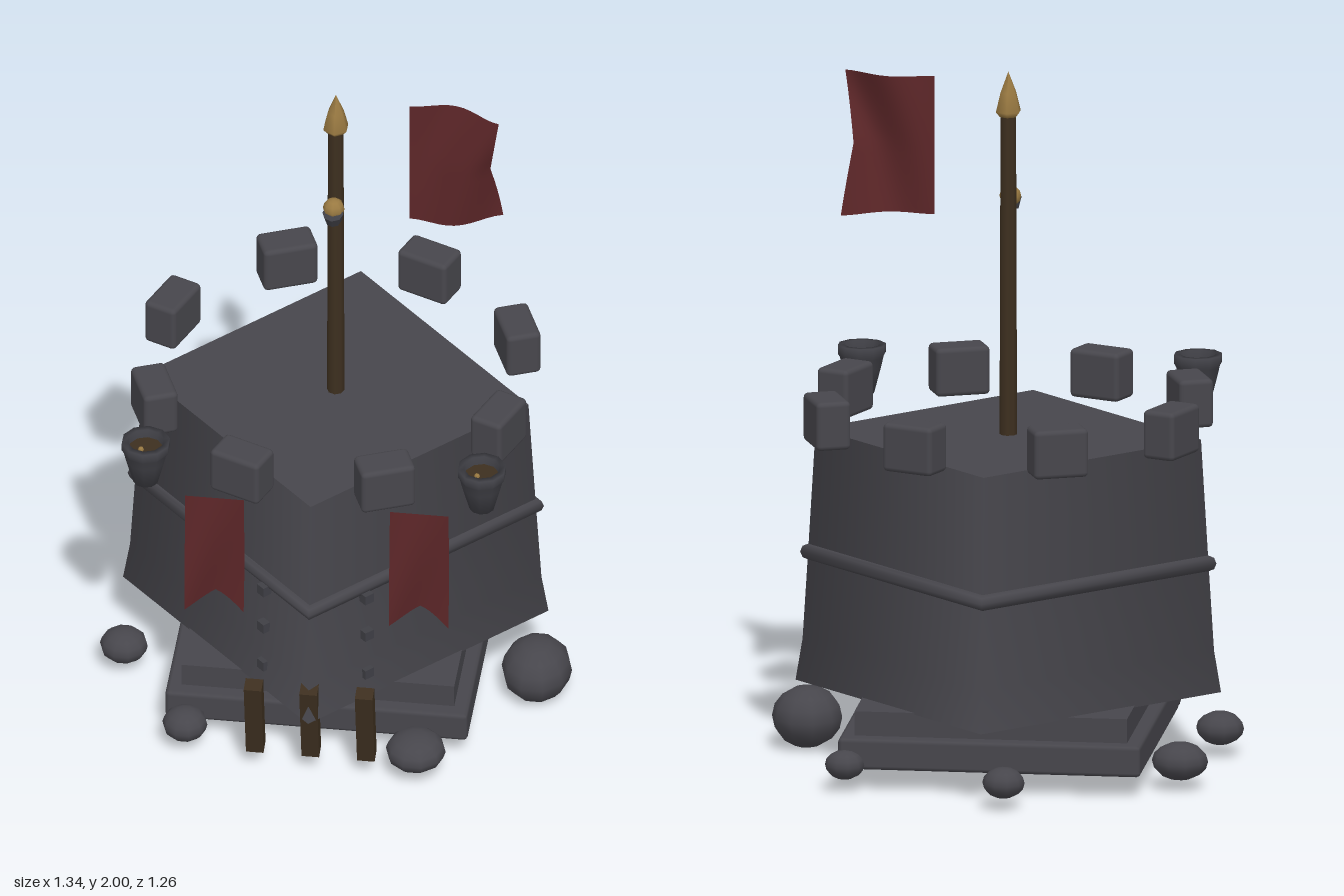
import * as THREE from 'three';
import { RoundedBoxGeometry } from 'three/addons/geometries/RoundedBoxGeometry.js';

const material = (name, color, side = THREE.FrontSide) => {
  const m = new THREE.MeshStandardMaterial({ color, side });
  m.name = name;
  return m;
};

export function createModel() {
  const stone = material('stone', 0x47464c);
  const iron = material('iron', 0x3f3f45);
  const wood = material('wood', 0x3d2f1f);
  const brass = material('brass', 0x9a7a42);
  const cloth = material('red cloth', 0x5c2628, THREE.DoubleSide);

  const model = new THREE.Group();
  model.name = 'watchtower';
  // The tower axis sits slightly off the overall centre
  const tower = new THREE.Group();
  tower.name = 'tower';
  tower.position.set(-0.02, 0, 0.02);
  model.add(tower);

  const add = (parent, name, geometry, mat, x = 0, y = 0, z = 0) => {
    const mesh = new THREE.Mesh(geometry, mat);
    mesh.name = name;
    mesh.position.set(x, y, z);
    parent.add(mesh);
    return mesh;
  };
  const lathe = (points, sides) =>
    new THREE.LatheGeometry(points.map(([r, y]) => new THREE.Vector2(r, y)), sides);

  // Stepped square base
  add(tower, 'lowerStep', new RoundedBoxGeometry(0.86, 0.09, 0.86, 1, 0.012), stone, 0, 0.11, 0);
  add(tower, 'upperStep', new THREE.BoxGeometry(0.775, 0.08, 0.775), stone, 0, 0.185, 0);

  // Four-sided flared wall with soft corners, turned 45 degrees to the base
  add(tower, 'wall', lathe([[0.605, 0.22], [0.585, 0.34], [0.57, 0.58], [0.548, 0.95]], 4), stone);
  const roof = add(tower, 'roof', new THREE.CircleGeometry(0.548, 4), stone, 0, 0.95, 0);
  roof.rotation.x = -Math.PI / 2;
  const underside = add(tower, 'underside', new THREE.CircleGeometry(0.605, 4), stone, 0, 0.22, 0);
  underside.rotation.x = Math.PI / 2;
  const band = add(tower, 'band', new THREE.TorusGeometry(0.569, 0.023, 8, 4), stone, 0, 0.592, 0);
  band.rotation.x = Math.PI / 2;

  // Ring of battlements
  const merlonGeometry = new RoundedBoxGeometry(0.158, 0.14, 0.1, 2, 0.014);
  for (let i = 0; i < 8; i++) {
    const a = (i + 0.5) * Math.PI / 4;
    const merlon = add(tower, 'merlon', merlonGeometry, stone,
      Math.sin(a) * 0.53, 1.02, Math.cos(a) * 0.53);
    merlon.rotation.y = a;
  }

  // Flagpole, finial and small lamp
  add(tower, 'pole', new THREE.CylinderGeometry(0.022, 0.025, 0.95, 8), wood, 0, 1.42, 0);
  add(tower, 'finial', lathe([[0, 1.87], [0.026, 1.87], [0.038, 1.885], [0.024, 1.94], [0, 2]], 6), brass);
  add(tower, 'lamp', new THREE.SphereGeometry(0.031, 8, 6), brass, 0, 1.63, 0.045);
  const lampCup = add(tower, 'lampCup', new THREE.CylinderGeometry(0.03, 0.022, 0.035, 8), iron, 0, 1.608, 0.058);
  lampCup.rotation.x = 0.25;

  // Leaning door planks
  for (const x of [-0.158, 0, 0.158]) {
    const plank = add(tower, 'plank', new THREE.BoxGeometry(0.05, 0.262, 0.045), wood, x, 0.198, 0.558);
    plank.rotation.x = 0.19;
  }

  // Studs beside the door
  for (const x of [-0.145, 0.145]) {
    for (const y of [0.3, 0.435, 0.565]) {
      const stud = add(tower, 'stud', new THREE.BoxGeometry(0.03, 0.03, 0.03), iron, x, y, 0.445);
      stud.rotation.y = Math.sign(x) * Math.PI / 4;
    }
  }

  // Fire bowls at the two front corners
  const bowl = lathe([[0, 0.945], [0.036, 0.945], [0.056, 1.02], [0.063, 1.05], [0.069, 1.06],
    [0.069, 1.085], [0.051, 1.085], [0.047, 1.04]], 10);
  for (const side of [-1, 1]) {
    const brazier = new THREE.Group();
    brazier.name = 'brazier';
    brazier.position.set(side * 0.478, 0, 0.478);
    tower.add(brazier);
    add(brazier, 'bowl', bowl, iron);
    add(brazier, 'coals', new THREE.CylinderGeometry(0.05, 0.045, 0.02, 10), wood, 0, 1.05, 0);
    add(brazier, 'ember', new THREE.SphereGeometry(0.009, 6, 4), brass, -0.012, 1.062, 0.012);
  }

  // Cloth sheet shaped by a rule: u runs across, v runs down
  const sheet = (rule) => {
    const g = new THREE.PlaneGeometry(1, 1, 12, 12);
    const p = g.attributes.position;
    for (let i = 0; i < p.count; i++) p.setXYZ(i, ...rule(p.getX(i) + 0.5, 0.5 - p.getY(i)));
    g.computeVertexNormals();
    return g;
  };
  const notch = (t) => 1 - Math.abs(2 * t - 1);

  // Swallow-tailed flag
  add(model, 'flag', sheet((u, v) => [
    0.19 + u * (0.26 - 0.03 * notch(v)),
    1.98 - 0.4 * v,
    0.02 - 0.05 * u * Math.sin(1.5 * Math.PI * u + Math.PI * v),
  ]), cloth);

  // Hanging banners with notched hems
  for (const x of [-0.31, 0.272]) {
    add(model, 'banner', sheet((u, v) => [
      x + (u - 0.5) * 0.167,
      0.855 - v * (0.395 - 0.05 * notch(u)),
      0.44 + 0.026 * v * Math.sin(4 * u + 2.5 * v),
    ]), cloth);
  }

  // Scattered rocks: x, y, z, then radii
  const rocks = [
    [0.565, 0.092, 0.12, 0.1, 0.088, 0.115],
    [-0.545, 0.085, -0.265, 0.08, 0.054, 0.075],
    [-0.605, 0.085, 0.155, 0.068, 0.048, 0.066],
    [0.39, 0.08, -0.41, 0.056, 0.042, 0.056],
    [-0.083, 0.08, -0.575, 0.06, 0.044, 0.062],
    [-0.387, 0.087, 0.495, 0.064, 0.047, 0.064],
    [0.275, 0.09, 0.537, 0.085, 0.052, 0.088],
  ];
  const rockGeometry = new THREE.SphereGeometry(1, 10, 8);
  rocks.forEach(([x, y, z, rx, ry, rz]) => {
    add(model, 'rock', rockGeometry, stone, x, y, z).scale.set(rx, ry, rz);
  });

  return model;
}
